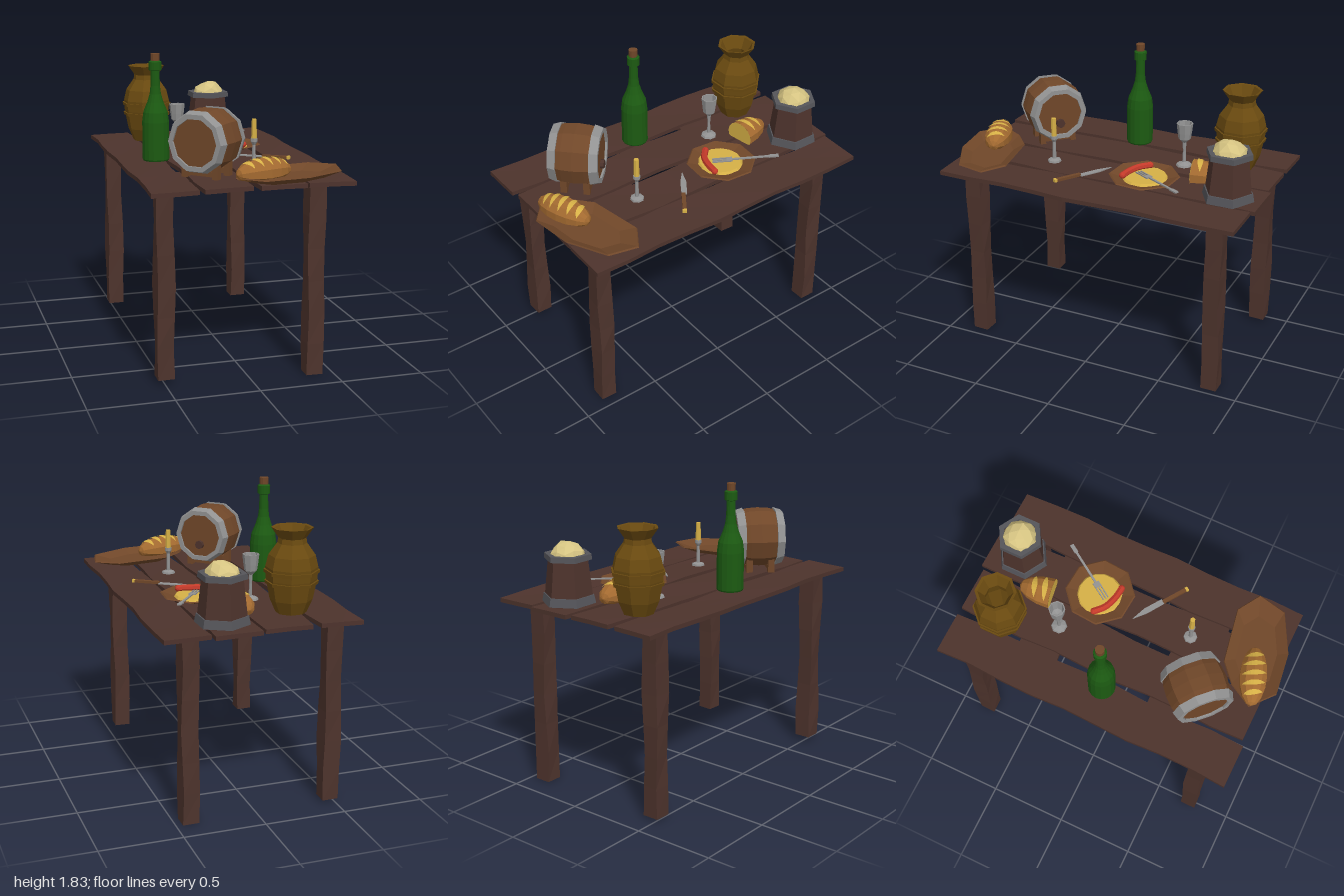
import * as THREE from 'three';

const mat = (name, color) => {
  const m = new THREE.MeshStandardMaterial({ color, flatShading: true, side: THREE.DoubleSide });
  m.name = name;
  return m;
};

export function createModel() {
  const root = new THREE.Group();
  root.name = 'laidTable';
  const darkWood = mat('darkWood', 0x4d332c), brownWood = mat('brownWood', 0x704729);
  const steel = mat('steel', 0x929292), iron = mat('iron', 0x55555a);
  const glass = mat('greenGlass', 0x1c5a12), bronze = mat('bronze', 0x6a4a10);
  const cream = mat('cream', 0xd6c482), yellow = mat('yellow', 0xd6b046);
  const crust = mat('crust', 0xa36a30), red = mat('red', 0xc43a2a);

  const add = (parent, name, geo, material, x = 0, y = 0, z = 0) => {
    const m = new THREE.Mesh(geo, material);
    m.name = name;
    m.position.set(x, y, z);
    parent.add(m);
    return m;
  };
  const group = (name, x, y, z, ry = 0, rz = 0) => {
    const g = new THREE.Group();
    g.name = name;
    g.position.set(x, y, z);
    g.rotation.set(0, ry, rz, 'YXZ');
    root.add(g);
    return g;
  };
  const box = (w, h, d) => new THREE.BoxGeometry(w, h, d);
  const lathe = (pts, sides, turn = 0) =>
    new THREE.LatheGeometry(pts.map(p => new THREE.Vector2(...p)), sides, turn);
  // closed ring with a sloping outer wall
  const ring = (inner, r0, y0, r1, y1, sides, turn = 0) =>
    lathe([[inner, y0], [r0, y0], [r1, y1], [inner, y1], [inner, y0]], sides, turn);
  // move every vertex by a rule
  const shape = (geo, rule) => {
    const p = geo.attributes.position, v = new THREE.Vector3();
    for (let i = 0; i < p.count; i++) {
      v.fromBufferAttribute(p, i);
      rule(v, i);
      p.setXYZ(i, v.x, v.y, v.z);
    }
    geo.computeVertexNormals();
    return geo;
  };

  // Table top: four rough planks
  [[-0.46, -0.025, 1.92, 0.265], [-0.15, -0.03, 1.9, 0.285],
    [0.16, -0.035, 1.93, 0.27], [0.455, -0.02, 1.91, 0.275]].forEach(([x, z, len, w], i) => {
    const geo = shape(new THREE.BoxGeometry(w, 0.026, len, 2, 1, 9), v => {
      const edge = Math.sign(Math.round(v.x * 100));
      v.x += edge * 0.008 * Math.sin(v.z * 9 + i * 2 + edge);
      v.y += 0.003 * Math.sin(v.z * 6 + v.x * 9 + i);
    });
    add(root, 'plank', geo, darkWood, x, 1.161, z).rotation.y = -0.011;
  });
  // Cross battens under the planks
  for (const z of [0.435, -0.435]) {
    add(root, 'batten', shape(new THREE.BoxGeometry(1.04, 0.028, 0.265, 7, 1, 1), v => {
      v.z += 0.008 * Math.sin(v.x * 11 + v.z * 5);
    }), darkWood, 0, 1.138, z);
  }
  // Hewn legs of slightly different lengths
  [[-0.495, 0.73, 0.035], [-0.47, -0.81, 0.02], [0.385, 0.8, 0], [0.41, -0.81, 0]]
    .forEach(([x, z, bottom], i) => {
      const h = 1.15 - bottom;
      const geo = shape(new THREE.BoxGeometry(0.1, h, 0.1, 1, 6, 1), v => {
        const bend = Math.abs(v.y) < h / 2 - 0.01 ? 0.006 : 0.002;
        v.x += bend * Math.sin(v.y * 8 + v.z * 30 + i);
        v.z += bend * Math.sin(v.y * 7 + v.x * 30 + i * 2);
      });
      add(root, 'tableLeg', geo, darkWood, x, bottom + h / 2, z);
    });

  // Bottle with cork
  const bottle = group('bottle', -0.365, 1.175, 0.022);
  add(bottle, 'bottleGlass', lathe([[0, 0], [0.078, 0], [0.083, 0.01], [0.083, 0.24], [0.075, 0.3],
    [0.05, 0.36], [0.035, 0.41], [0.029, 0.46], [0.027, 0.55], [0.039, 0.555], [0.039, 0.605],
    [0.028, 0.612], [0, 0.612]], 16), glass);
  add(bottle, 'cork', new THREE.CylinderGeometry(0.028, 0.026, 0.05, 10), brownWood, 0, 0.63, 0);

  // Barrel lying on a small stand
  const barrel = group('barrel', -0.19, 1.385, 0.555, Math.PI / 4, -Math.PI / 2);
  add(barrel, 'staves', lathe([[0, -0.137], [0.145, -0.137], [0.165, -0.14], [0.183, -0.07],
    [0.188, 0], [0.183, 0.07], [0.165, 0.14], [0.145, 0.137], [0, 0.137]], 10), brownWood);
  add(barrel, 'hoop', ring(0.142, 0.171, -0.15, 0.187, -0.1, 10), steel);
  add(barrel, 'hoop', ring(0.142, 0.187, 0.1, 0.171, 0.15, 10), steel);
  add(barrel, 'plug', new THREE.CylinderGeometry(0.028, 0.028, 0.03, 8), darkWood, 0.06, 0.145, 0);
  const stand = group('barrelStand', -0.19, 1.172, 0.555, Math.PI / 4);
  for (const x of [-0.07, 0.07]) {
    add(stand, 'crossBar', box(0.04, 0.03, 0.22), brownWood, x, 0.03, 0);
    for (const z of [-0.1, 0.1]) add(stand, 'post', box(0.04, 0.1, 0.035), brownWood, x, 0.05, z);
  }

  // Octagonal vase, hollow, with raised bands
  const vase = group('vase', -0.255, 1.175, -0.7);
  const t8 = Math.PI / 8;
  add(vase, 'vaseBody', lathe([[0, 0], [0.09, 0], [0.125, 0.08], [0.148, 0.2], [0.152, 0.27],
    [0.135, 0.34], [0.085, 0.41], [0.08, 0.44], [0.122, 0.5], [0.105, 0.497], [0.068, 0.43],
    [0.1, 0.3], [0.08, 0.05], [0, 0.05]], 8, t8), bronze);
  add(vase, 'band', ring(0.13, 0.153, 0.17, 0.157, 0.19, 8, t8), bronze);
  add(vase, 'band', ring(0.13, 0.16, 0.235, 0.162, 0.255, 8, t8), bronze);

  // Hexagonal mug with foam
  const mug = group('mug', 0.2, 1.175, -0.795);
  add(mug, 'mugBody', lathe([[0, 0], [0.15, 0], [0.118, 0.28], [0.105, 0.28], [0.105, 0.23], [0, 0.23]], 6), darkWood);
  add(mug, 'lowerHoop', ring(0.13, 0.162, 0.005, 0.152, 0.055, 6), iron);
  add(mug, 'upperHoop', ring(0.108, 0.143, 0.265, 0.141, 0.298, 6), iron);
  add(mug, 'foam', shape(new THREE.IcosahedronGeometry(0.105, 1), v => {
    v.y *= 0.88 + 0.12 * Math.sin(v.x * 40 + v.z * 25);
    v.x *= 1 + 0.06 * Math.sin(v.z * 50);
  }), cream, 0, 0.275, 0);

  // Goblet
  const goblet = group('goblet', -0.125, 1.175, -0.385);
  add(goblet, 'gobletBody', lathe([[0, 0], [0.05, 0], [0.045, 0.012], [0.011, 0.025], [0.009, 0.1],
    [0.013, 0.155], [0.038, 0.18], [0.044, 0.22], [0.051, 0.28], [0.044, 0.28], [0.034, 0.2], [0, 0.185]], 8, t8), steel);

  // Candle in a slim holder
  const candle = group('candle', 0.155, 1.175, 0.37);
  add(candle, 'candleHolder', lathe([[0, 0], [0.043, 0], [0.04, 0.012], [0.012, 0.02], [0.01, 0.13],
    [0.022, 0.15], [0.022, 0.17], [0, 0.17]], 8, t8), steel);
  add(candle, 'wax', new THREE.CylinderGeometry(0.015, 0.018, 0.12, 8), yellow, 0, 0.225, 0);

  // Loaf along local x, optionally cut in half, with pale scores across it
  const loaf = (name, half, scores, size, x, y, z, ry) => {
    const g = group(name, x, y, z, ry);
    g.scale.set(...size);
    const ball = new THREE.SphereGeometry(1, 10, 8).rotateZ(Math.PI / 2);
    add(g, 'loafCrust', shape(ball, v => {
      v.y = Math.max(v.y, -0.45);
      if (half) v.x = Math.max(v.x, 0);
    }), crust);
    if (half) {
      const cut = new THREE.CircleGeometry(1, 16).rotateY(-Math.PI / 2);
      add(g, 'cutFace', shape(cut, v => { v.y = Math.max(v.y, -0.45); }), yellow, -0.01, 0, 0);
    }
    for (const x0 of scores) {
      const strip = new THREE.PlaneGeometry(1, 2, 1, 8);
      add(g, 'score', shape(strip, v => {
        const a = v.y * 0.95, px = x0 + v.x * 0.17 * Math.cos(v.y * 1.5) + a * 0.07;
        const r = 1.03 * Math.sqrt(Math.max(0, 1.02 - px * px));
        v.set(px, r * Math.cos(a), r * Math.sin(a));
      }), yellow);
    }
  };
  loaf('breadLoaf', false, [-0.64, -0.33, 0, 0.33, 0.64], [0.185, 0.08, 0.085], 0.065, 1.235, 0.82, 0.33);
  loaf('halfLoaf', true, [0.2, 0.52], [0.21, 0.085, 0.095], 0.035, 1.212, -0.51, 1.72);

  // Long irregular tray under the loaf
  const rim = [[0.025, 0.99], [0.295, 0.955], [0.535, 0.83], [0.575, 0.65],
    [0.43, 0.56], [0.085, 0.62], [-0.03, 0.72], [-0.115, 0.87]];
  const trayProfile = [[0, 1.175], [0.65, 1.175], [1, 1.212], [0.98, 1.22], [0.65, 1.187], [0, 1.187]];
  add(root, 'tray', shape(lathe(trayProfile, 8), (v, k) => {
    const [rx, rz] = rim[Math.floor(k / trayProfile.length) % 8];
    const r = trayProfile[k % trayProfile.length][0];
    v.x = 0.23 + (rx - 0.23) * r;
    v.z = 0.78 + (rz - 0.78) * r;
  }), brownWood);

  // Plate with mash and sausage
  const plate = group('plate', 0.175, 1.175, -0.25);
  add(plate, 'dish', lathe([[0, 0], [0.13, 0], [0.218, 0.028], [0.21, 0.034], [0.13, 0.01], [0, 0.01]], 8, t8 * 0.8), brownWood);
  add(plate, 'mash', new THREE.CylinderGeometry(0.13, 0.142, 0.014, 14), yellow, -0.01, 0.018, 0);
  const curve = new THREE.CatmullRomCurve3([[-0.135, 0.02], [-0.08, 0.07], [0, 0.1], [0.075, 0.11]]
    .map(([x, z]) => new THREE.Vector3(x, 0.038, z)));
  add(plate, 'sausage', new THREE.TubeGeometry(curve, 8, 0.021, 7), red);
  for (const t of [0, 1]) add(plate, 'sausageEnd', new THREE.IcosahedronGeometry(0.021, 1), red, ...curve.getPoint(t));

  // Fork leaning over the plate rim
  const fork = group('fork', 0.15, 1.208, -0.2, 0.993, 0.06);
  add(fork, 'handle', box(0.29, 0.008, 0.014), steel, 0.265, 0, 0);
  add(fork, 'handleEnd', box(0.06, 0.009, 0.024), steel, 0.38, 0, 0);
  add(fork, 'head', box(0.035, 0.008, 0.042), steel, 0.105, 0, 0);
  for (const z of [-0.017, 0, 0.017]) add(fork, 'tine', box(0.09, 0.007, 0.007), steel, 0.045, 0, z);

  // Knife lying flat
  const knife = group('knife', 0.105, 1.178, 0.0, -0.6);
  const blade = new THREE.Shape([[0, 0], [0.1, 0.022], [0.225, 0.022], [0.225, -0.012], [0.1, -0.014]]
    .map(p => new THREE.Vector2(...p)));
  add(knife, 'blade', new THREE.ExtrudeGeometry(blade, { depth: 0.006, bevelEnabled: false }).rotateX(-Math.PI / 2), steel);
  add(knife, 'grip', box(0.165, 0.016, 0.024), brownWood, 0.305, 0.006, 0);
  add(knife, 'pommel', box(0.018, 0.018, 0.026), yellow, 0.392, 0.006, 0);

  return root;
}
